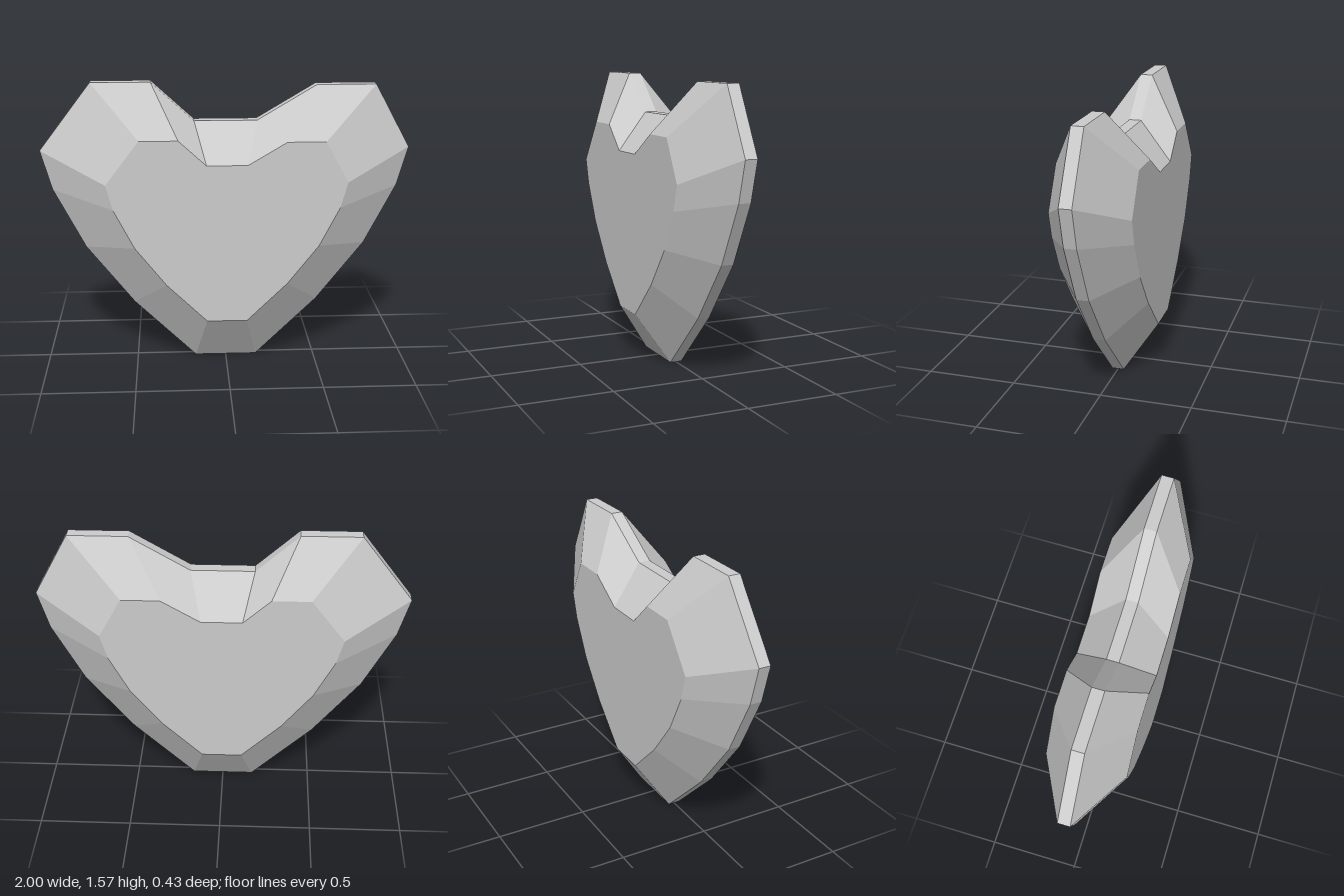
import * as THREE from 'three';

// Heart outline, counter-clockwise from the bottom tip; the two lobes differ slightly.
const side = [[0.17, 0], [0.51, 0.33], [0.77, 0.66], [0.94, 0.99], [1, 1.205]];
const leftLobe = [[0.81, 1.55], [0.49, 1.55], [0.17, 1.36]];
const rightLobe = [[-0.17, 1.36], [-0.4, 1.57], [-0.72, 1.57]];
const mirrored = side.map(([x, y]) => [-x, y]).reverse();
const outline = [...side, ...leftLobe, ...rightLobe, ...mirrored]
  .map(([x, y]) => new THREE.Vector2(x, y));

// The flat faces are the outline scaled about a point inside the heart.
const SCALE = 0.645, LIFT = 0.278, RIM_Z = 0.033, FACE_Z = 0.217;
const inner = outline.map((p) => new THREE.Vector2(p.x * SCALE, p.y * SCALE + LIFT));

const ring = (points, z) => points.map((p) => new THREE.Vector3(p.x, p.y, z));

function toMesh(name, triangles, material) {
  const geometry = new THREE.BufferGeometry().setFromPoints(triangles);
  geometry.computeVertexNormals();
  const mesh = new THREE.Mesh(geometry, material);
  mesh.name = name;
  return mesh;
}

// Band of quads between a front ring and the ring behind it.
function band(front, back) {
  const triangles = [];
  front.forEach((a, i) => {
    const j = (i + 1) % front.length;
    triangles.push(a, back[i], back[j], a, back[j], front[j]);
  });
  return triangles;
}

// Flat heart-shaped face, wound to look forward or backward.
function cap(points, z, forward) {
  const corners = ring(points, z);
  return THREE.ShapeUtils.triangulateShape(points, [])
    .flatMap(([a, b, c]) => (forward ? [a, b, c] : [a, c, b]).map((i) => corners[i]));
}

export function createModel() {
  const model = new THREE.Group();
  model.name = 'heartGem';
  const material = new THREE.MeshStandardMaterial({ color: 0xcccccc, flatShading: true });

  const frontFace = ring(inner, FACE_Z);
  const frontRim = ring(outline, RIM_Z);
  const backRim = ring(outline, -RIM_Z);
  const backFace = ring(inner, -FACE_Z);

  model.add(
    toMesh('frontFace', cap(inner, FACE_Z, true), material),
    toMesh('frontFacets', band(frontFace, frontRim), material),
    toMesh('rim', band(frontRim, backRim), material),
    toMesh('backFacets', band(backRim, backFace), material),
    toMesh('backFace', cap(inner, -FACE_Z, false), material),
  );
  return model;
}
